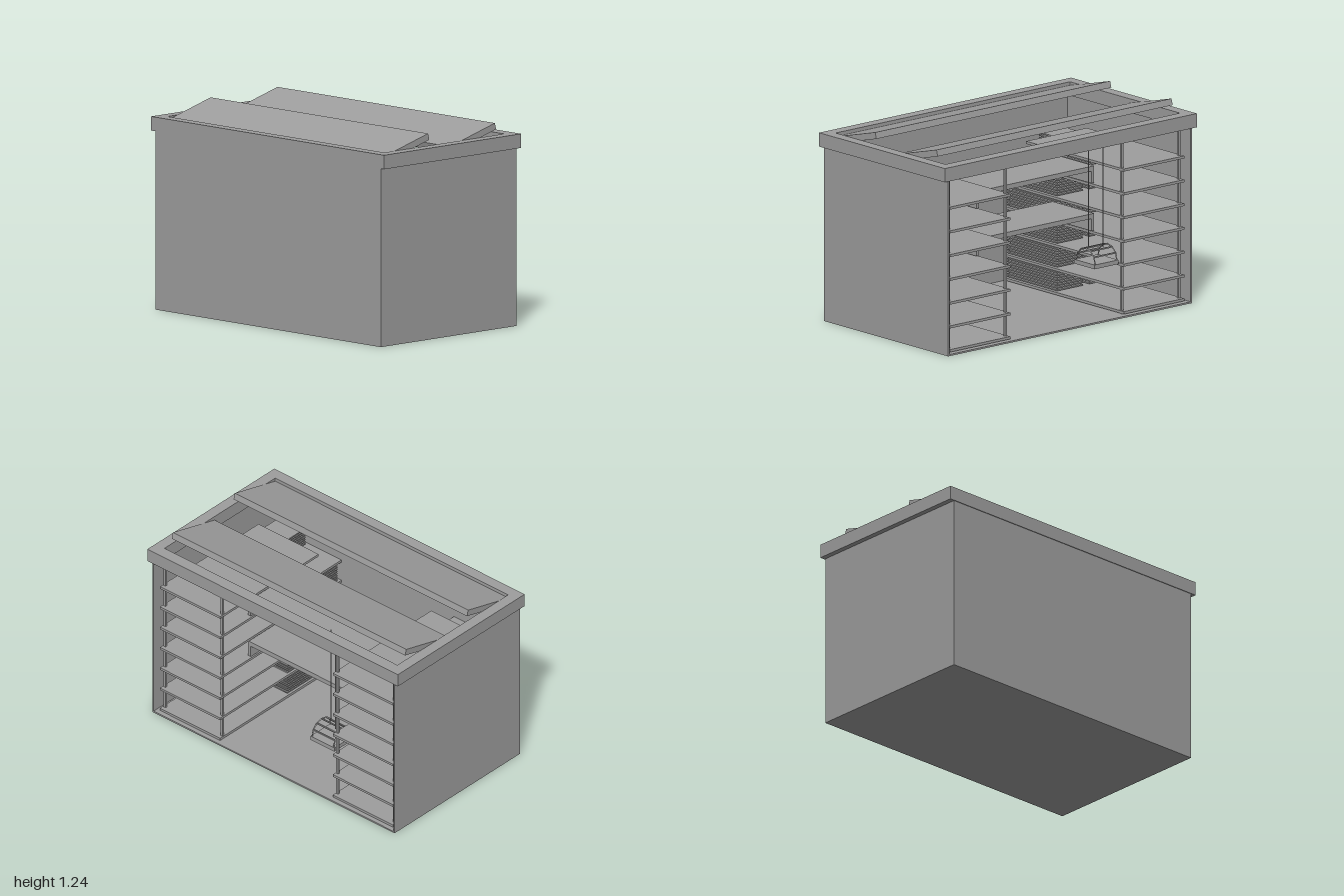
import * as THREE from 'three';

const material = new THREE.MeshStandardMaterial({ color: 0x9e9e9e, flatShading: true, side: THREE.DoubleSide });

// Box given by its minimum and maximum on each axis
function box(parent, name, [x0, x1], [y0, y1], [z0, z1]) {
  const mesh = new THREE.Mesh(new THREE.BoxGeometry(x1 - x0, y1 - y0, z1 - z0), material);
  mesh.position.set((x0 + x1) / 2, (y0 + y1) / 2, (z0 + z1) / 2);
  mesh.name = name;
  parent.add(mesh);
  return mesh;
}

function group(parent, name) {
  const g = new THREE.Group();
  g.name = name;
  parent.add(g);
  return g;
}

// Span along z, mirrored for the back tower
const span = (side, a, b) => (side > 0 ? [a, b] : [-b, -a]);

export function createModel() {
  const model = new THREE.Group();
  model.name = 'shelvedCabin';

  // Floor and three closed walls; the +x side is open
  const shell = group(model, 'shell');
  box(shell, 'floor', [-0.565, 0.562], [0, 0.01], [-0.967, 0.967]);
  box(shell, 'sideWall', [-0.565, -0.555], [0.01, 1.08], [-0.967, 0.967]);
  for (const s of [1, -1]) box(shell, s > 0 ? 'frontWall' : 'backWall', [-0.555, 0.562], [0.01, 1.08], span(s, 0.957, 0.967));

  // Roof frame with a large opening
  const outline = new THREE.Shape([[-0.57, -1], [0.57, -1], [0.57, 1], [-0.57, 1]].map(p => new THREE.Vector2(...p)));
  outline.holes.push(new THREE.Path([[-0.5, -0.93], [-0.5, 0.93], [0.495, 0.93], [0.495, -0.93]].map(p => new THREE.Vector2(...p))));
  const frameGeometry = new THREE.ExtrudeGeometry(outline, { depth: 0.085, bevelEnabled: false });
  frameGeometry.rotateX(-Math.PI / 2);
  const frame = new THREE.Mesh(frameGeometry, material);
  frame.position.y = 1.08;
  frame.name = 'roofFrame';
  model.add(frame);
  box(model, 'roofRail', [0.43, 0.455], [1.08, 1.1], [-0.93, 0.93]);

  // Two tilted roof panels
  for (const x of [-0.32, 0.236]) {
    const panel = box(model, 'roofPanel', [-0.193, 0.193], [-0.02, 0.02], [-0.932, 0.932]);
    panel.position.set(x, 1.17, 0);
    panel.rotation.z = THREE.MathUtils.degToRad(15);
  }

  // Shelf towers at both ends; the top shelf stops short of the side wall
  for (const s of [1, -1]) {
    const tower = group(model, s > 0 ? 'frontShelves' : 'backShelves');
    for (let i = 0; i < 7; i++) {
      const y = 0.014 + i * 0.1465;
      box(tower, 'shelf', [i < 6 ? -0.555 : -0.35, 0.535], [y, y + 0.016], span(s, 0.45, 0.93));
      // Stacks of thin sheets on the inner half of each shelf
      for (let k = 0; k < 8 && i < 6; k++) {
        const sheetY = y + 0.022 + k * 0.0155;
        box(tower, 'sheet', [-0.53, -0.08], [sheetY, sheetY + 0.008], span(s, 0.715, 0.905));
        if (i < 5) box(tower, 'sheet', [-0.53, -0.08], [sheetY, sheetY + 0.008], span(s, 0.46, 0.665));
      }
    }
    for (const z of [0.455, 0.908])
      box(tower, 'post', [0.495, 0.51], [0.01, 1.08], span(s, z, z + 0.015));
  }

  // Two bridging tables between the towers, closed at the rear and ends
  for (const y of [0.475, 0.768]) {
    const table = group(model, 'bridgeTable');
    box(table, 'tableTop', [-0.095, 0.255], [y + 0.075, y + 0.105], [-0.46, 0.475]);
    box(table, 'rearBoard', [-0.12, -0.095], [y, y + 0.105], [-0.46, 0.475]);
    for (const z of [-0.46, 0.455])
      box(table, 'endBoard', [-0.095, 0.255], [y, y + 0.075], [z, z + 0.02]);
  }

  // Hanging basket: tray, open arched cage and two cords
  const basket = group(model, 'hangingBasket');
  basket.position.set(0.415, 0.32, -0.34);
  box(basket, 'tray', [-0.095, 0.09], [0, 0.026], [-0.095, 0.095]);
  for (const z of [-0.086, 0.086]) {
    const hoop = new THREE.Mesh(new THREE.TorusGeometry(0.085, 0.005, 4, 6, Math.PI), material);
    hoop.position.set(0, 0.026, z);
    hoop.name = 'cageHoop';
    basket.add(hoop);
  }
  for (let i = 1; i < 6; i++) {
    const a = (i * Math.PI) / 6;
    const x = 0.085 * Math.cos(a), y = 0.026 + 0.085 * Math.sin(a);
    box(basket, 'cageBar', [x - 0.004, x + 0.004], [y - 0.004, y + 0.004], [-0.086, 0.086]);
  }
  for (const [x, z] of [[-0.03, 0.037], [0.015, -0.037]])
    box(basket, 'cord', [x - 0.002, x + 0.002], [0.1, 0.76], [z - 0.002, z + 0.002]);

  return model;
}
